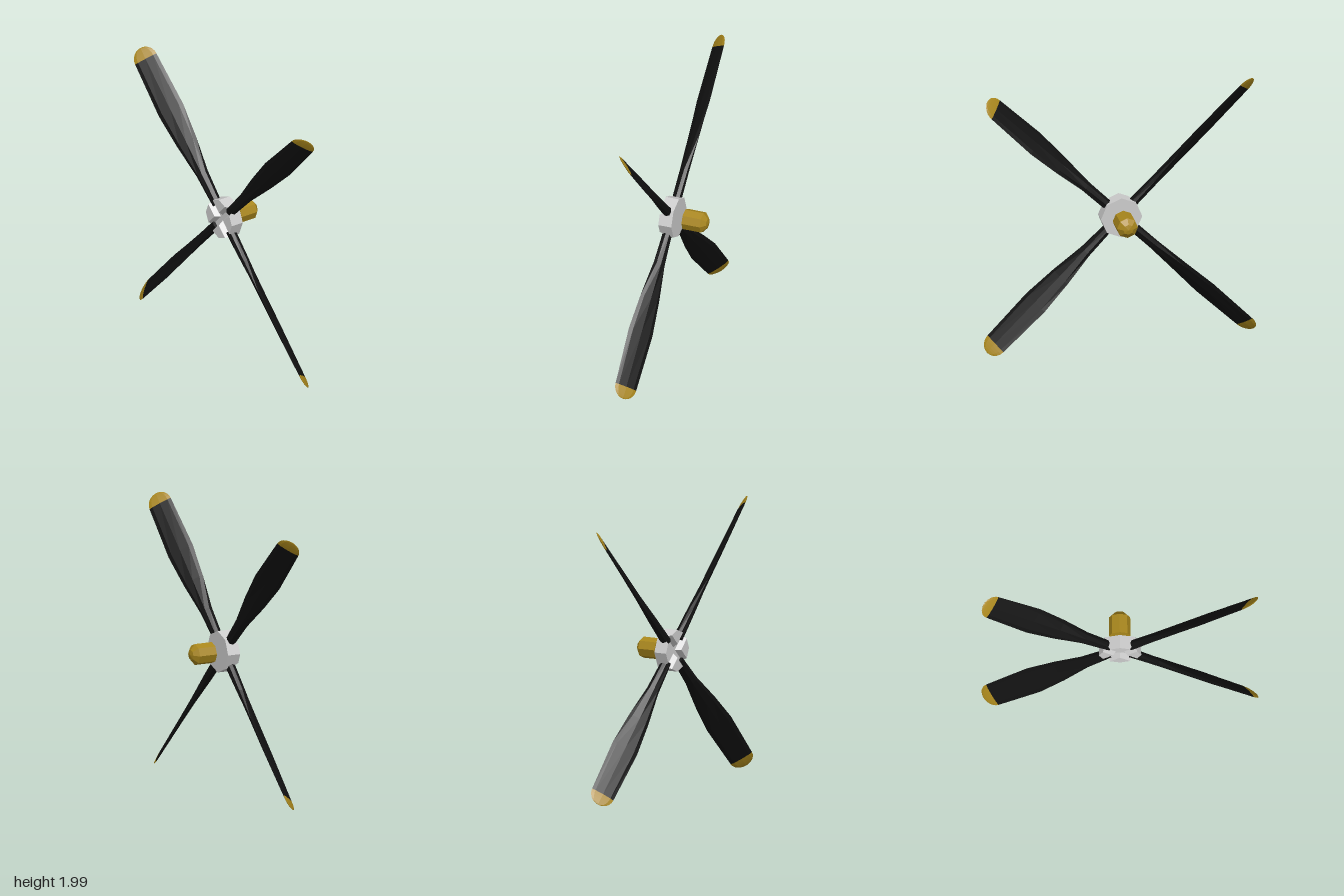
import * as THREE from 'three';
import { ConvexGeometry } from 'three/addons/geometries/ConvexGeometry.js';

const paint = (color) => new THREE.MeshStandardMaterial({ color, flatShading: true });
const grey = paint(0xcccccc);
const black = paint(0x111111);
const yellow = paint(0xa8861c);

const PITCH = THREE.MathUtils.degToRad(45);
const SIDES = 8;

// Lofts pitched oval sections [radius along blade, half chord, half thickness] along +x
function bladeLoft(sections) {
  const pos = [], index = [];
  for (const [r, chord, thick] of sections) {
    for (let j = 0; j < SIDES; j++) {
      const a = (j / SIDES) * Math.PI * 2;
      const c = Math.cos(a) * chord, n = Math.sin(a) * thick;
      pos.push(r, c * Math.cos(PITCH) - n * Math.sin(PITCH), c * Math.sin(PITCH) + n * Math.cos(PITCH));
    }
  }
  for (let i = 0; i < sections.length - 1; i++) {
    for (let j = 0; j < SIDES; j++) {
      const k = (j + 1) % SIDES;
      const a = i * SIDES + j, b = i * SIDES + k, c = b + SIDES, d = a + SIDES;
      index.push(a, b, c, a, c, d);
    }
  }
  const geo = new THREE.BufferGeometry();
  geo.setAttribute('position', new THREE.Float32BufferAttribute(pos, 3));
  geo.setIndex(index);
  geo.computeVertexNormals();
  return geo;
}

function add(parent, name, geometry, material) {
  const mesh = new THREE.Mesh(geometry, material);
  mesh.name = name;
  parent.add(mesh);
  return mesh;
}

export function createModel() {
  const model = new THREE.Group();
  model.name = 'propeller';

  // Four pitched blades with rounded coloured tips
  const tipStart = 1.295, tipLength = 0.09, tipChord = 0.088, tipThick = 0.009;
  const bladeGeo = bladeLoft([
    [0.11, 0, 0], [0.11, 0.036, 0.036], [0.36, 0.046, 0.03], [0.62, 0.079, 0.02],
    [0.88, 0.1, 0.015], [tipStart, tipChord, tipThick],
  ]);
  const tipSections = [];
  for (let i = 0; i <= 6; i++) {
    const a = (i / 6) * Math.PI / 2;
    tipSections.push([tipStart + tipLength * Math.sin(a), tipChord * Math.cos(a), tipThick * Math.cos(a)]);
  }
  const tipGeo = bladeLoft(tipSections);
  for (let k = 0; k < 4; k++) {
    const blade = new THREE.Group();
    blade.name = 'blade';
    blade.position.set(0, 1, 0.105);
    blade.rotation.z = Math.PI / 4 + k * Math.PI / 2;
    add(blade, 'bladeBody', bladeGeo, black);
    add(blade, 'bladeTip', tipGeo, yellow);
    model.add(blade);
  }

  // Octagonal hub: solid back plate, then four bevelled pads that leave a cross of channels
  const hub = new THREE.Group();
  hub.name = 'hub';
  hub.position.y = 1.003;
  model.add(hub);
  const R = 0.152, back = 0.052, floor = 0.115, front = 0.152;
  const plate = add(hub, 'hubPlate', new THREE.CylinderGeometry(R, R, floor - back, 8), grey);
  plate.rotation.x = Math.PI / 2;
  plate.position.z = (back + floor) / 2;

  const padRing = (w, z) => {
    const c = R * Math.SQRT1_2, t = w / c;
    const x = c + (R - c) * t, y = c * (1 - t);
    return [[w * Math.SQRT2, 0], [x, -y], [R, 0], [x, y]].map(([px, py]) => new THREE.Vector3(px, py, z));
  };
  const padGeo = new ConvexGeometry([...padRing(0.016, floor), ...padRing(0.036, front)]);
  for (let k = 0; k < 4; k++) {
    add(hub, 'hubPad', padGeo, grey).rotation.z = k * Math.PI / 2;
  }

  // Separate faceted shaft behind the hub, domed at the rear
  const profile = [[0, -0.178], [0.038, -0.17], [0.077, -0.137], [0.077, 0.003], [0, 0.003]];
  const shaftGeo = new THREE.LatheGeometry(profile.map(([x, y]) => new THREE.Vector2(x, y)), 8);
  const shaft = add(model, 'shaft', shaftGeo, yellow);
  shaft.rotation.x = Math.PI / 2;
  shaft.position.y = 1.003;

  return model;
}
